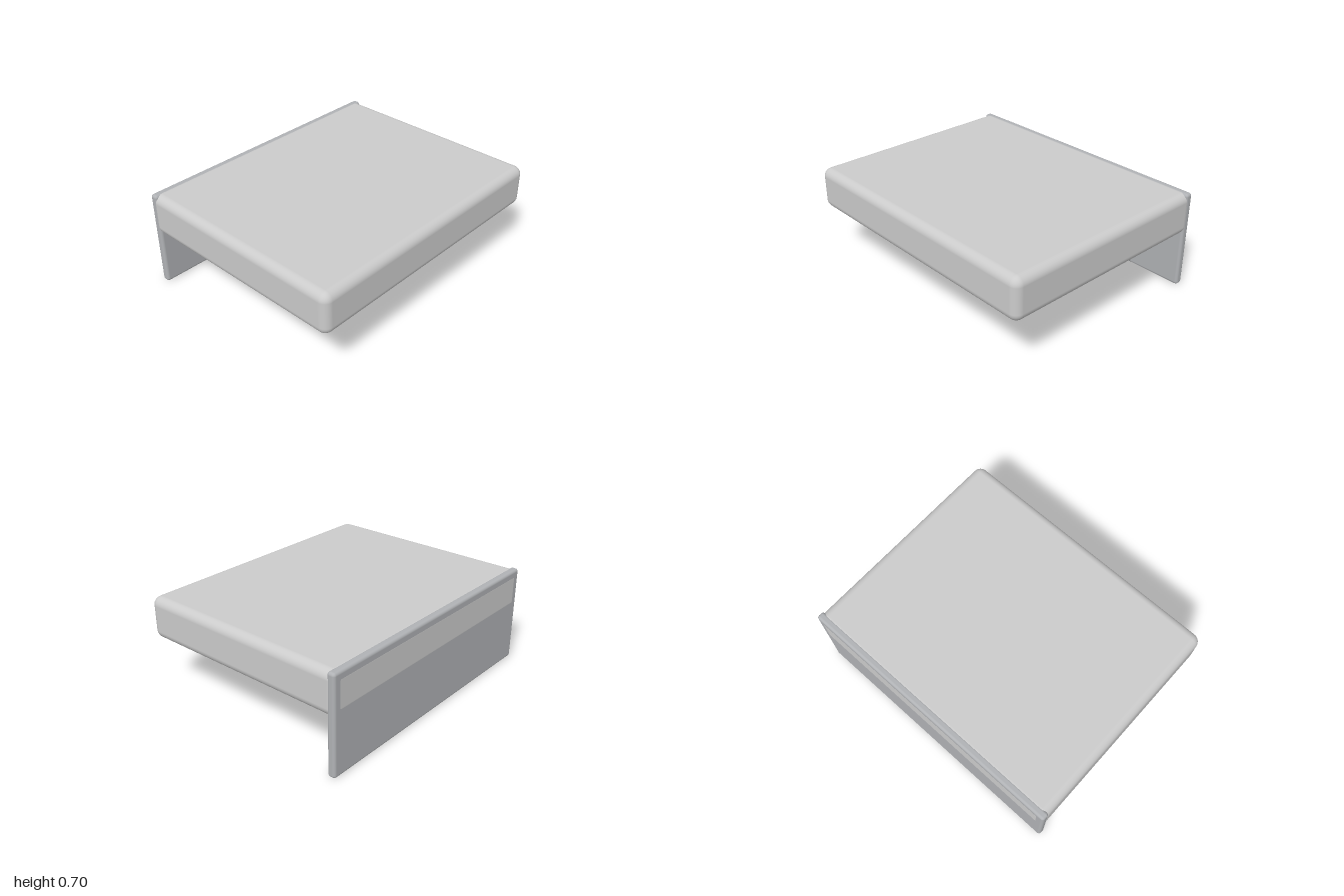
import * as THREE from 'three';
import { RoundedBoxGeometry } from 'three/addons/geometries/RoundedBoxGeometry.js';

// Box given by its min and max corners; rounded when a radius is set
function block(name, min, max, radius, color) {
  const size = max.map((v, i) => v - min[i]);
  const geometry = radius
    ? new RoundedBoxGeometry(...size, 6, radius)
    : new THREE.BoxGeometry(...size);
  const mesh = new THREE.Mesh(geometry, new THREE.MeshStandardMaterial({ color }));
  mesh.name = name;
  mesh.position.set(...max.map((v, i) => (v + min[i]) / 2));
  return mesh;
}

export function createModel() {
  const model = new THREE.Group();
  model.name = 'wallMountedCase';

  // Main case; its flat rear face shows just proud of the back plate
  model.add(block('case', [-1, 0.4, -0.8005], [1, 0.7, 0.8], 0.06, 0xcccccc));

  // Upright back plate reaching down to the ground
  model.add(block('backPlate', [-1, 0, -0.8], [1, 0.7, -0.742], 0.02, 0xb0b2b5));

  // Dark panel under the case
  model.add(block('undersidePanel', [-0.85, 0.395, -0.55], [0.85, 0.405, -0.05], 0, 0x222222));

  // Pair of rounded pads below the panel
  for (const [side, x] of [['left', 0.4], ['right', -0.4]]) {
    model.add(block(side + 'Pad', [x - 0.12, 0.342, -0.375], [x + 0.12, 0.402, -0.225], 0.02, 0xcccccc));
  }

  // Green indicator near the front
  model.add(block('indicator', [0.7, 0.39, 0.55], [0.8, 0.41, 0.65], 0, 0x338844));

  return model;
}
